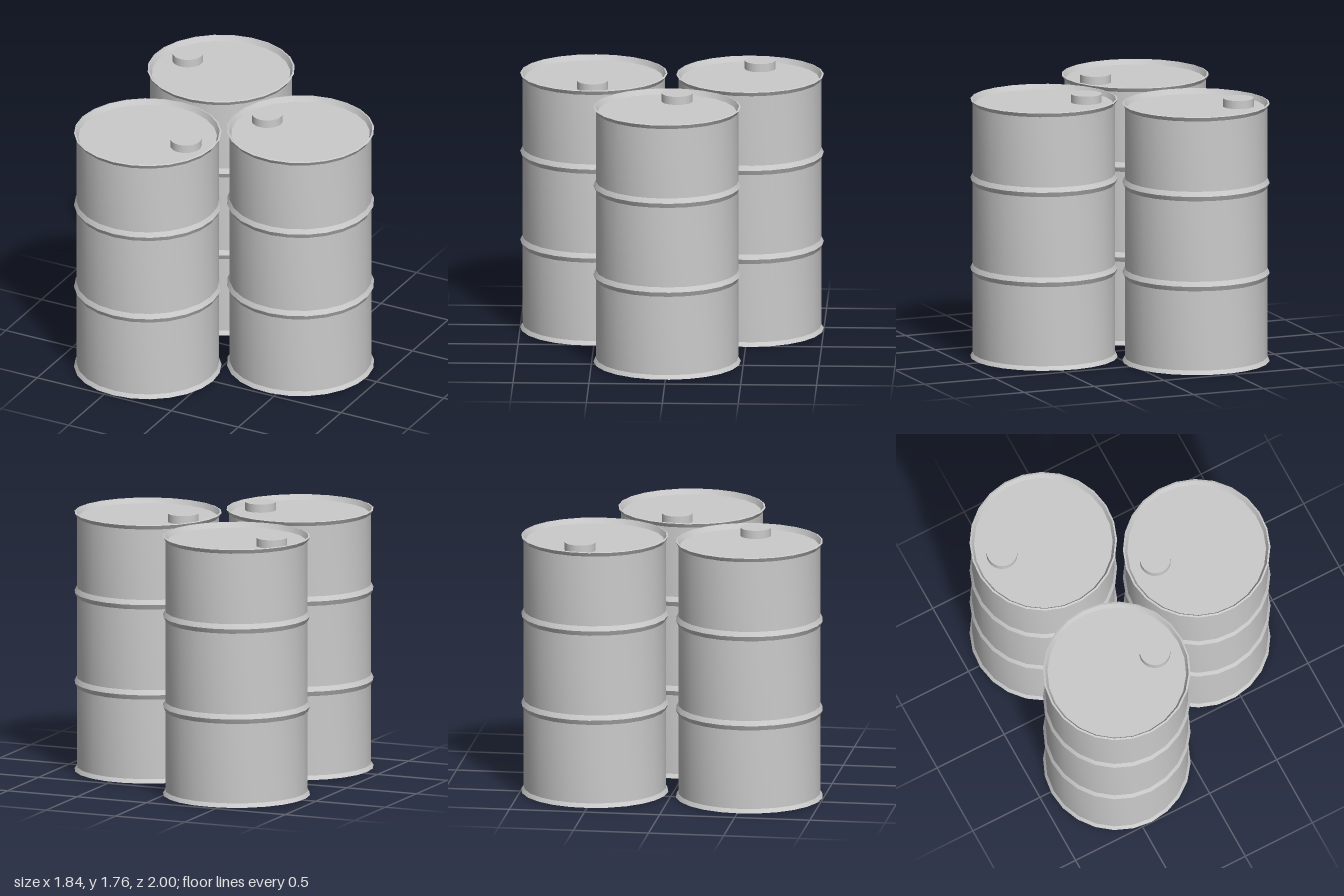
import * as THREE from 'three';
import { toCreasedNormals } from 'three/addons/utils/BufferGeometryUtils.js';

const SIDES = 24;
const BODY = 0.47;   // wall radius
const RIM = 0.486;   // radius of rims and hoops

const material = new THREE.MeshStandardMaterial({ color: 0xcccccc });

// Closed drum outline, from the centre of the base up to the sunken lid
function drumGeometry() {
  const hoop = (y) => [[BODY, y - 0.032], [RIM, y], [BODY, y + 0.032]];
  const profile = [
    [0, 0], [0.445, 0], [RIM, 0.008], [BODY, 0.035],
    ...hoop(0.6),
    ...hoop(1.205),
    [BODY, 1.71], [RIM, 1.737], [0.474, 1.74], [0.457, 1.705], [0, 1.705],
  ].map(([r, y]) => new THREE.Vector2(r, y));
  return toCreasedNormals(new THREE.LatheGeometry(profile, SIDES), 0.3);
}

export function createModel() {
  const model = new THREE.Group();
  model.name = 'drumCluster';

  const bodyGeometry = drumGeometry();
  const capGeometry = new THREE.CylinderGeometry(0.102, 0.102, 0.058, SIDES);

  // Position and turn of each drum; the cap sits off-centre, so the turn shows
  const drums = [
    ['backRightDrum', -0.434, -0.515, -0.2],
    ['frontRightDrum', -0.434, 0.514, Math.PI],
    ['leftDrum', 0.434, 0.003, -0.2],
  ];

  for (const [name, x, z, turn] of drums) {
    const drum = new THREE.Group();
    drum.name = name;

    const body = new THREE.Mesh(bodyGeometry, material);
    body.name = 'drumBody';

    const cap = new THREE.Mesh(capGeometry, material);
    cap.name = 'fillerCap';
    cap.position.set(-0.284, 1.731, 0);

    drum.add(body, cap);
    drum.position.set(x, 0, z);
    drum.rotation.y = turn;
    model.add(drum);
  }

  return model;
}
